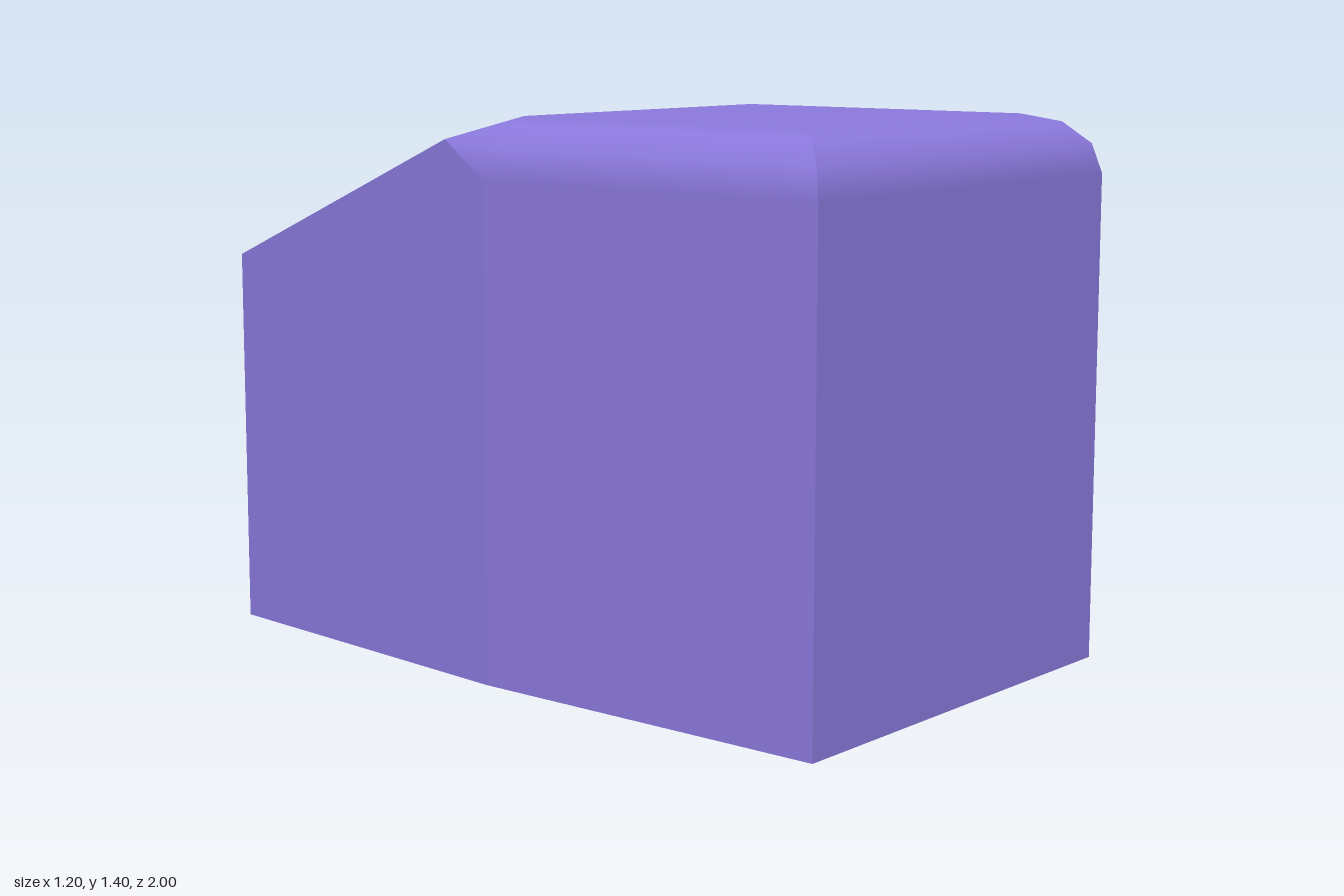
import * as THREE from 'three';

const V = (x, y, z) => new THREE.Vector3(x, y, z);

// Collects convex polygons (corners anticlockwise from outside) with flat or given normals.
class FaceBuilder {
  positions = [];
  normals = [];
  add(points, normals) {
    const flat = points[1].clone().sub(points[0]).cross(points[2].clone().sub(points[0])).normalize();
    for (let i = 1; i < points.length - 1; i++) {
      for (const k of [0, i, i + 1]) {
        this.positions.push(...points[k].toArray());
        this.normals.push(...(normals ? normals[k] : flat).toArray());
      }
    }
  }
  // Adds the polygon and its mirror image across x = 0.
  addPair(points, normals) {
    const flip = (list) => list.map((p) => V(-p.x, p.y, p.z)).reverse();
    this.add(points, normals);
    this.add(flip(points), normals && flip(normals));
  }
  mesh(name, material) {
    const geometry = new THREE.BufferGeometry();
    geometry.setAttribute('position', new THREE.Float32BufferAttribute(this.positions, 3));
    geometry.setAttribute('normal', new THREE.Float32BufferAttribute(this.normals, 3));
    const mesh = new THREE.Mesh(geometry, material);
    mesh.name = name;
    return mesh;
  }
}

export function createModel() {
  const group = new THREE.Group();
  const purple = new THREE.MeshStandardMaterial({ color: 0x8a78dc });
  const black = new THREE.MeshStandardMaterial({ color: 0x0a0a0a });

  const W = 0.6, H = 1.4, BW = 0.5, BH = 1, R = 0.15, STEPS = 3;

  // Housing: straight front half, tapering rear half
  const shell = new FaceBuilder();
  const shoulder = H - R;
  const slide = R / Math.hypot(W - BW, H - BH, 1);
  const tip = V(W - (W - BW) * slide, H - (H - BH) * slide, -slide);
  shell.add([V(-W, 0, 1), V(W, 0, 1), V(W, shoulder, 1), V(-W, shoulder, 1)]);
  shell.add([V(-W + R, H, 1 - R), V(W - R, H, 1 - R), V(W - R, H, 0), V(-W + R, H, 0)]);
  shell.add([V(-W + R, H, 0), V(W - R, H, 0), tip, V(BW, BH, -1), V(-BW, BH, -1), V(-tip.x, tip.y, tip.z)]);
  shell.add([V(-W, 0, 0), V(-BW, 0, -1), V(BW, 0, -1), V(W, 0, 0), V(W, 0, 1), V(-W, 0, 1)]);
  shell.addPair([V(W, 0, 1), V(W, 0, 0), V(W, shoulder, 0), V(W, shoulder, 1)]);
  shell.addPair([V(W, 0, 0), V(BW, 0, -1), V(BW, BH, -1), tip, V(W, shoulder, 0)]);
  group.add(shell.mesh('housing', purple));

  // Rounded top edges, mitred at the front and fanned into the rear slope
  const edges = new FaceBuilder();
  const ring = [];
  for (let i = 0; i <= STEPS; i++) {
    const a = (i / STEPS) * Math.PI / 2;
    const inset = R * (1 - Math.cos(a)), y = shoulder + R * Math.sin(a);
    ring.push({
      front: V(W - inset, y, 1 - inset),
      back: V(W - inset, y, 0),
      sideNormal: V(Math.cos(a), Math.sin(a), 0),
      frontNormal: V(0, Math.sin(a), Math.cos(a)),
    });
  }
  const tipNormal = V(0.68, 0.72, -0.15).normalize();
  for (let i = 0; i < STEPS; i++) {
    const a = ring[i], b = ring[i + 1];
    const left = (p) => V(-p.x, p.y, p.z);
    edges.add([left(a.front), a.front, b.front, left(b.front)],
      [a.frontNormal, a.frontNormal, b.frontNormal, b.frontNormal]);
    edges.addPair([a.front, a.back, b.back, b.front],
      [a.sideNormal, a.sideNormal, b.sideNormal, b.sideNormal]);
    edges.addPair([a.back, tip, b.back], [a.sideNormal, tipNormal, b.sideNormal]);
  }
  group.add(edges.mesh('roundedTopEdges', purple));

  // Rear rim and the walls of the recess
  const recess = new FaceBuilder();
  const T = 0.015, DEPTH = 0.2;
  const outline = (t, z) => [V(BW - t, t, z), V(-BW + t, t, z), V(-BW + t, BH - t, z), V(BW - t, BH - t, z)];
  const outer = outline(0, -1), inner = outline(T, -1), deep = outline(T, -1 + DEPTH);
  for (let i = 0; i < 4; i++) {
    const j = (i + 1) % 4;
    recess.add([outer[i], outer[j], inner[j], inner[i]]);
    recess.add([inner[i], inner[j], deep[j], deep[i]]);
  }
  group.add(recess.mesh('rearRecess', purple));

  // Dark panel at the bottom of the recess
  const panel = new FaceBuilder();
  panel.add(deep);
  group.add(panel.mesh('rearPanel', black));

  return group;
}
